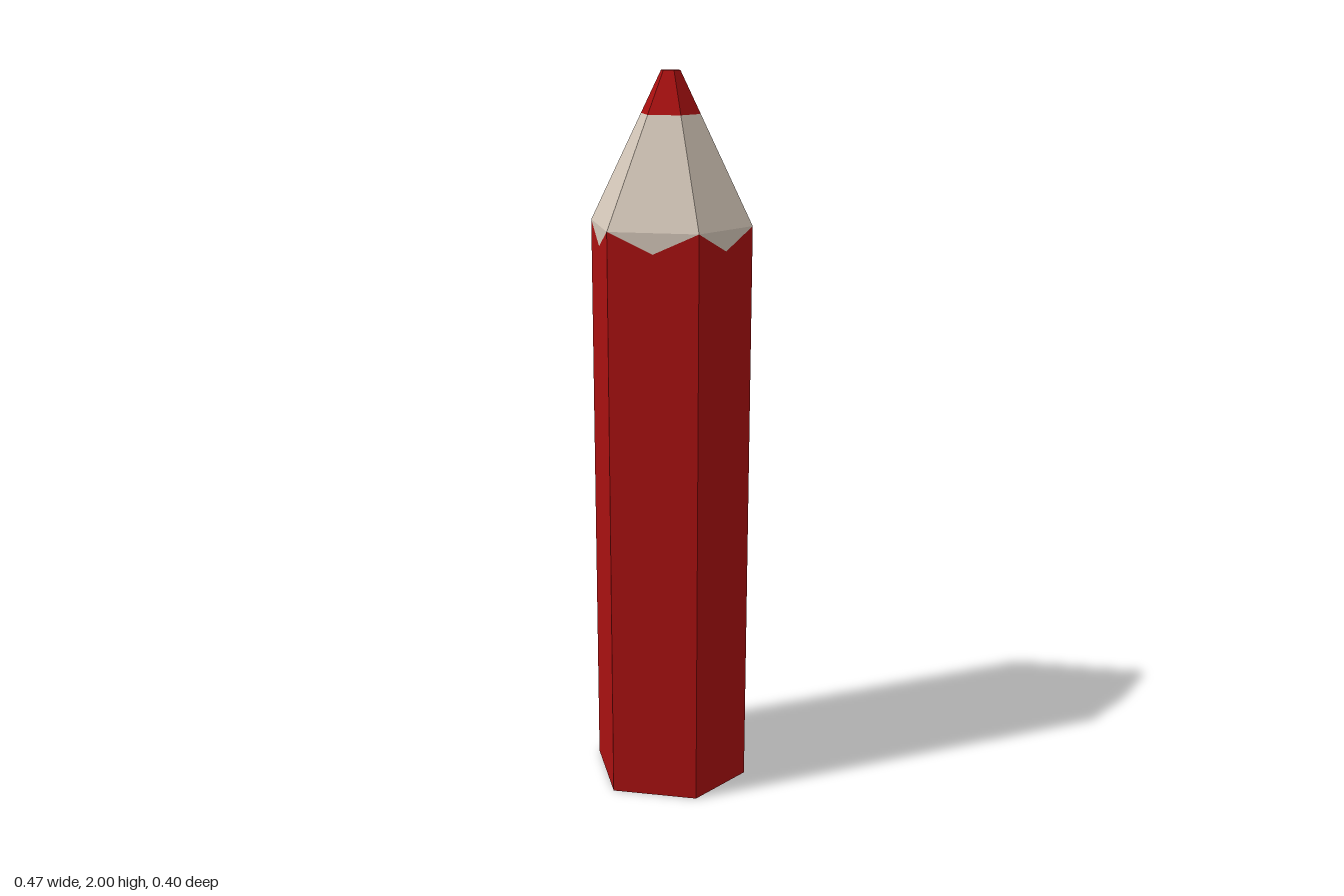
import * as THREE from 'three';

// Six corners of the slightly squashed hexagonal section
const CORNERS = [[0.235, 0], [0.103, 0.2], [-0.103, 0.2], [-0.235, 0], [-0.103, -0.2], [0.103, -0.2]];

// Ring of 12 points: corners at cornerY alternating with face middles at middleY
function ring(scale, cornerY, middleY = cornerY) {
  return CORNERS.flatMap(([x, z], i) => {
    const [nx, nz] = CORNERS[(i + 1) % 6];
    return [
      new THREE.Vector3(x * scale, cornerY, z * scale),
      new THREE.Vector3((x + nx) / 2 * scale, middleY, (z + nz) / 2 * scale),
    ];
  });
}

// Skin a stack of rings, lowest first; a single-point ring closes an end
function loft(name, rings, color) {
  const points = [];
  const area = new THREE.Triangle();
  const add = (a, b, c) => {
    if (area.set(a, b, c).getArea() > 1e-9) points.push(a, b, c);
  };
  for (let r = 0; r < rings.length - 1; r++) {
    const low = rings[r], up = rings[r + 1];
    for (let i = 0; i < 12; i++) {
      const j = (i + 1) % 12;
      const at = (list, k) => list[k % list.length];
      add(at(low, i), at(up, i), at(low, j));
      add(at(low, j), at(up, i), at(up, j));
    }
  }
  const geometry = new THREE.BufferGeometry().setFromPoints(points);
  geometry.computeVertexNormals();
  const mesh = new THREE.Mesh(geometry, new THREE.MeshStandardMaterial({ color, flatShading: true }));
  mesh.name = name;
  return mesh;
}

export function createModel() {
  const group = new THREE.Group();
  group.name = 'pencil';
  const red = 0xa81010, wood = 0xd2c5b7;
  const center = (y) => [new THREE.Vector3(0, y, 0)];

  const base = ring(1, 0);
  const paintEdge = ring(1, 1.605, 1.55); // scalloped edge of the paint
  const shoulder = ring(1, 1.605);
  const leadStart = ring(0.363, 1.89);
  const leadEnd = ring(0.117, 2);

  group.add(
    loft('paintedBody', [base, paintEdge], red),
    loft('sharpenedWood', [paintEdge, shoulder, leadStart], wood),
    loft('leadTip', [leadStart, leadEnd, center(2)], red),
    loft('bottomEnd', [center(0), base], 0xcccccc),
  );
  return group;
}
